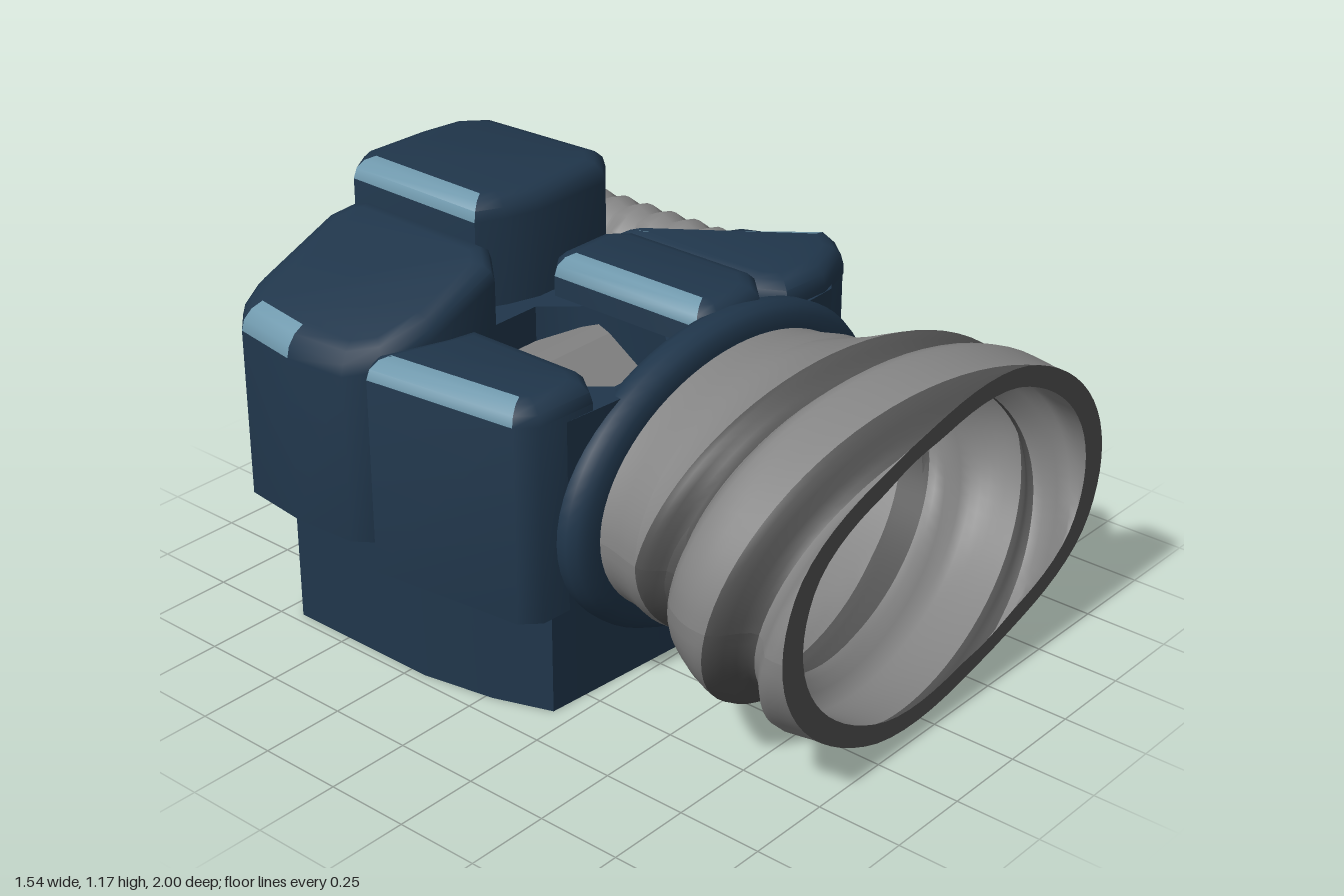
import * as THREE from 'three';
import { toCreasedNormals } from 'three/addons/utils/BufferGeometryUtils.js';

const mat = (name, color, side = THREE.FrontSide) => {
  const m = new THREE.MeshStandardMaterial({ color, side });
  m.name = name;
  return m;
};

// Rounded-top block from a convex outline [x, z], counter-clockwise from above.
// The bevel over the first outline segment takes the second material.
function blockGeometry(outline, y0, y1, r = 0.06, slope = 0) {
  const n = outline.length;
  const cx = outline.reduce((s, p) => s + p[0], 0) / n;
  const normals = outline.map((p, i) => {
    const q = outline[(i + 1) % n], l = Math.hypot(q[0] - p[0], q[1] - p[1]);
    return [-(q[1] - p[1]) / l, (q[0] - p[0]) / l];
  });
  const pos = [], main = [], edge = [];
  const ring = (inset, y, tilt) => outline.forEach((p, i) => {
    const a = normals[(i + n - 1) % n], b = normals[i];
    const k = inset / (1 + a[0] * b[0] + a[1] * b[1]);
    const x = p[0] - (a[0] + b[0]) * k;
    pos.push(x, y + tilt * (x - cx), p[1] - (a[1] + b[1]) * k);
  });
  ring(0, y0, 0);
  const steps = 3;
  for (let s = 0; s <= steps; s++) {
    const t = (s / steps) * Math.PI / 2;
    ring(r * (1 - Math.cos(t)), y1 - r * (1 - Math.sin(t)), slope);
  }
  for (let s = 0; s <= steps; s++) {
    for (let i = 0; i < n; i++) {
      const a = s * n + i, b = s * n + (i + 1) % n;
      (s > 0 && i === 0 ? edge : main).push(a, b, b + n, a, b + n, a + n);
    }
  }
  const top = (steps + 1) * n;
  for (let i = 1; i < n - 1; i++) main.push(top, top + i, top + i + 1, 0, i + 1, i);
  const g = new THREE.BufferGeometry();
  g.setAttribute('position', new THREE.Float32BufferAttribute(pos, 3));
  g.setIndex([...main, ...edge]);
  g.addGroup(0, main.length, 0);
  g.addGroup(main.length, edge.length, 1);
  return toCreasedNormals(g, 0.95);
}

// Elliptical nozzle, with two spiral grooves
const CX = 0.04, CY = 0.505, RATIO = 1.48, LEAD = 0.7, PITCH = 0.35, START = 0.42, SEG = 72;
const WALL = 0.055, BORE = 0.372;
const smooth = THREE.MathUtils.smoothstep;
function nozzleRadius(phi, z) {
  const body = 0.375 + 0.025 * smooth(z, 0.27, 0.45) + 0.092 * smooth(z, 0.42, 0.74) - 0.012 * smooth(z, 0.85, 1);
  const u = THREE.MathUtils.euclideanModulo(z - START - LEAD * phi / (2 * Math.PI), PITCH);
  const groove = smooth(u, 0, 0.09) * (1 - smooth(u, 0.1, 0.19));
  return body - 0.06 * groove * smooth(z, 0.38, 0.55);
}
// depth 0 is the outer skin, depth 1 the inner skin
const nozzlePoint = (phi, z, depth) => {
  const outer = nozzleRadius(phi, z);
  const r = THREE.MathUtils.lerp(outer, Math.max(outer - WALL, BORE), depth);
  return [CX - RATIO * r * Math.cos(phi), CY + r * Math.sin(phi), z];
};

// Strip grid: rows of points swept around the nozzle
function sweep(rows, point) {
  const pos = [], idx = [];
  rows.forEach((row) => {
    for (let i = 0; i <= SEG; i++) pos.push(...point(row, (i / SEG) * Math.PI * 2));
  });
  for (let j = 0; j < rows.length - 1; j++) {
    for (let i = 0; i < SEG; i++) {
      const a = j * (SEG + 1) + i, b = a + SEG + 1;
      idx.push(a, a + 1, b + 1, a, b + 1, b);
    }
  }
  const g = new THREE.BufferGeometry();
  g.setAttribute('position', new THREE.Float32BufferAttribute(pos, 3));
  g.setIndex(idx);
  g.computeVertexNormals();
  return g;
}

export function createModel() {
  const navy = mat('navy', 0x20364b);
  const paleBlue = mat('paleBlue', 0x7099ad);
  const grey = mat('grey', 0x858585, THREE.DoubleSide);
  const darkGrey = mat('darkGrey', 0x525252, THREE.DoubleSide);
  const model = new THREE.Group();
  const add = (name, geometry, material, parent = model) => {
    const m = new THREE.Mesh(geometry, material);
    m.name = name;
    parent.add(m);
    return m;
  };

  // Base with an eight-sided bore
  const flip = (pts) => pts.map(([x, z]) => new THREE.Vector2(x, -z));
  const bore = [[-0.41, -0.25], [-0.41, 0.05], [-0.32, 0.15], [-0.09, 0.15],
    [0, 0.05], [0, -0.25], [-0.09, -0.35], [-0.32, -0.35]];
  const baseShape = new THREE.Shape(flip([[-0.72, -0.69], [-0.72, -0.2], [-0.68, 0.02], [-0.62, 0.19],
    [-0.1, 0.23], [0.55, 0.2], [0.67, 0.1], [0.69, -0.2], [0.6, -0.29], [0.44, -0.44], [0.34, -0.78],
    [0.2, -0.86], [-0.35, -0.86], [-0.54, -0.83]]));
  baseShape.holes.push(new THREE.Path(flip(bore)));
  const base = new THREE.ExtrudeGeometry(baseShape, { depth: 0.85, bevelEnabled: false });
  add('base', toCreasedNormals(base.rotateX(-Math.PI / 2), 0.75), navy);

  // Ridged plug in the bore
  const plugShape = new THREE.Shape(flip([[0.5, 0.16], [0.6, 0.16], [0.8, -0.15], [0.815, -0.19],
    [0.74, -0.36], [0.5, -0.36]].map(([y, z]) => [-z, -y])));
  const plug = new THREE.ExtrudeGeometry(plugShape, { depth: 0.4, bevelEnabled: false });
  add('borePlug', plug.rotateY(Math.PI / 2).translate(-0.405, 0, 0), grey);

  // Blocks on top of the base
  const coloured = [navy, paleBlue];
  add('backLeftBlock', blockGeometry([[-0.75, -0.83], [-0.775, -0.62], [-0.765, -0.42], [-0.7, -0.33], [-0.55, -0.29],
    [-0.3, -0.3], [-0.23, -0.38], [-0.22, -0.85], [-0.25, -0.9], [-0.33, -0.935], [-0.62, -0.91], [-0.7, -0.88]],
  0.36, 1.0, 0.06, 0.33), coloured);
  add('backBlock', blockGeometry([[-0.2, -0.95], [-0.21, -0.46], [-0.13, -0.42], [-0.03, -0.39],
    [0.25, -0.39], [0.34, -0.47], [0.32, -0.9], [0.24, -0.975], [0.1, -0.995], [-0.12, -1.0]], 0.43, 1.17), coloured);
  add('frontLeftBlock', blockGeometry([[-0.75, -0.34], [-0.7, 0.14], [-0.65, 0.19], [-0.46, 0.2],
    [-0.4, 0.12], [-0.4, -0.28], [-0.5, -0.3], [-0.7, -0.37]], 0.29, 0.93), coloured);
  add('frontMiddleBlock', blockGeometry([[0, -0.36], [0, 0.16], [0.05, 0.2], [0.22, 0.21],
    [0.31, 0.12], [0.31, -0.33], [0.24, -0.4], [0.05, -0.4]], 0.29, 0.97), coloured);
  add('frontRightBlock', blockGeometry([[0.35, -0.42], [0.31, 0.1], [0.36, 0.19], [0.52, 0.2],
    [0.68, 0.14], [0.74, 0.02], [0.74, -0.1], [0.68, -0.24]], 0.29, 0.89), [navy, navy]);
  add('frontRightCap', blockGeometry([[0.755, 0.03], [0.365, -0.45], [0.325, -0.39], [0.31, 0.1],
    [0.36, 0.19], [0.52, 0.2], [0.67, 0.15], [0.73, 0.08]], 0.84, 0.93), coloured);

  // Ribbed rod pointing backwards
  const rodProfile = [[0, 0.18], [0.115, 0.18]];
  for (let i = 0; i < 6; i++) {
    const y = 0.22 + i * 0.092;
    rodProfile.push([0.115, y], [0.132, y + 0.03], [0.132, y + 0.05], [0.115, y + 0.085]);
  }
  rodProfile.push([0.1, 0.775], [0, 0.785]);
  const rod = new THREE.LatheGeometry(rodProfile.map((p) => new THREE.Vector2(...p)), 14);
  add('ribbedRod', toCreasedNormals(rod.rotateX(-Math.PI / 2), 0.7), grey).position.set(0.555, 0.77, 0);

  // Flange behind the nozzle
  const flangeProfile = [[0, 0.15], [0.41, 0.15], [0.432, 0.165], [0.444, 0.19], [0.445, 0.225],
    [0.435, 0.25], [0.415, 0.265], [0.385, 0.27], [0, 0.27]];
  const flange = new THREE.LatheGeometry(flangeProfile.map((p) => new THREE.Vector2(...p)), 64);
  const flangeMesh = add('flange', toCreasedNormals(flange.rotateX(Math.PI / 2).scale(1.44, 1, 1), 0.7), navy);
  flangeMesh.position.set(CX, CY, 0);

  // Nozzle shells: plain neck, then spiral strips in two greys
  const nozzle = new THREE.Group();
  nozzle.name = 'nozzle';
  model.add(nozzle);
  for (const [side, depth] of [['outer', 0], ['inner', 1]]) {
    add(side + 'Neck', sweep([0.26, 0.3, 0.34, 0.38, START],
      (z, phi) => nozzlePoint(phi, z, depth)), grey, nozzle);
    const spiral = (s, phi) => {
      const z = THREE.MathUtils.clamp(s + LEAD * phi / (2 * Math.PI), START, 1);
      return nozzlePoint(phi, z, depth);
    };
    for (let k = -2; k < 2; k++) {
      const rows = (from, to, count) => Array.from({ length: count + 1 },
        (_, i) => START + k * PITCH + from + (to - from) * i / count);
      add(side + 'Groove', sweep(rows(0, 0.1, 5), spiral), darkGrey, nozzle);
      add(side + 'Ridge', sweep(rows(0.1, PITCH, 10), spiral), grey, nozzle);
    }
  }
  add('nozzleRim', sweep([0, 1], (depth, phi) => nozzlePoint(phi, 1, depth)), darkGrey, nozzle);
  return model;
}
